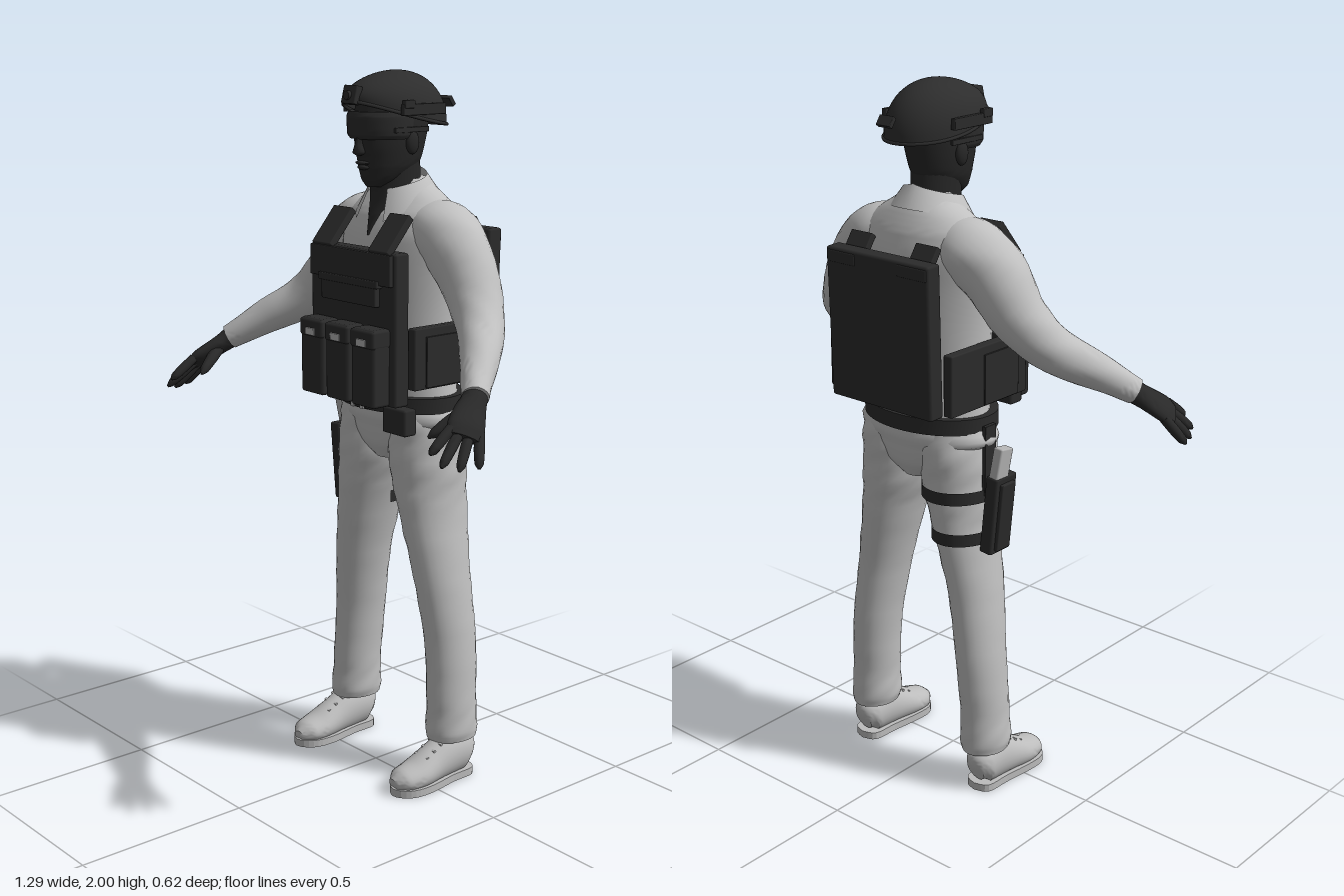
import * as THREE from 'three';
import { toCreasedNormals } from 'three/addons/utils/BufferGeometryUtils.js';
import { RoundedBoxGeometry } from 'three/addons/geometries/RoundedBoxGeometry.js';

const V = (x, y, z) => new THREE.Vector3(x, y, z);
const material = (name, color, side = THREE.FrontSide) => {
  const m = new THREE.MeshStandardMaterial({ color, side });
  m.name = name;
  return m;
};

// Skin over elliptical stations [x, y, z, a, b]; b lies along ref, a across it.
// level keeps every ring horizontal; shape may adjust each point.
function loft(stations, { n = 28, steps = 5, level = false, ref = V(0, 0, 1), wrinkle = 0, shape } = {}) {
  const path = new THREE.CatmullRomCurve3(stations.map(s => V(s[0], s[1], s[2])));
  const radii = new THREE.CatmullRomCurve3(stations.map(s => V(s[3], s[4], 0)));
  const rows = (stations.length - 1) * steps, pos = [], index = [];
  for (let i = 0; i <= rows; i++) {
    const t = i / rows, c = path.getPoint(t), r = radii.getPoint(t);
    const T = level ? V(0, 1, 0) : path.getTangent(t);
    const u = ref.clone().addScaledVector(T, -ref.dot(T)).normalize();
    const s = T.clone().cross(u);
    for (let j = 0; j < n; j++) {
      const q = j / n * Math.PI * 2;
      const k = 1 + wrinkle * Math.sin(c.y * 75 + 2 * q) * Math.sin(q * 3 + c.y * 20);
      const p = c.clone().addScaledVector(s, r.x * k * Math.cos(q)).addScaledVector(u, r.y * k * Math.sin(q));
      if (shape) shape(p);
      pos.push(p.x, p.y, p.z);
    }
  }
  for (let i = 0; i < rows; i++) for (let j = 0; j < n; j++) {
    const a = i * n + j, b = i * n + (j + 1) % n;
    index.push(a, a + n, b, b, a + n, b + n);
  }
  for (const end of [0, 1]) {
    const c = path.getPoint(end), id = pos.length / 3, o = end * rows * n;
    if (shape) shape(c);
    pos.push(c.x, c.y, c.z);
    for (let j = 0; j < n; j++) {
      const a = o + j, b = o + (j + 1) % n;
      index.push(id, ...(end ? [b, a] : [a, b]));
    }
  }
  const g = new THREE.BufferGeometry();
  g.setAttribute('position', new THREE.Float32BufferAttribute(pos, 3));
  g.setIndex(index);
  return toCreasedNormals(g, 0.95);
}

export function createModel() {
  const root = new THREE.Group();
  const cloth = material('cloth', 0xc0c0c0, THREE.DoubleSide);
  const shoe = material('shoe leather', 0xbcbcbc);
  const skin = material('skin', 0x272727);
  const glove = material('glove', 0x292929);
  const gear = material('gear', 0x2b2b2b, THREE.DoubleSide);
  const shell = material('helmet shell', 0x2d2d2d, THREE.DoubleSide);
  const metal = material('metal', 0xb4b4b4);

  const add = (name, geo, mat) => {
    const m = new THREE.Mesh(geo, mat);
    m.name = name;
    root.add(m);
    return m;
  };
  const box = (name, [w, h, d], [x, y, z], mat = gear, rx = 0, rz = 0) => {
    const m = add(name, new RoundedBoxGeometry(w, h, d, 1, Math.min(w, h, d) * 0.15), mat);
    m.position.set(x, y, z);
    m.rotation.set(rx, 0, rz);
    return m;
  };
  const ball = (name, [w, h, d], [x, y, z], mat) => {
    const m = add(name, new THREE.SphereGeometry(1, 16, 12), mat);
    m.scale.set(w, h, d);
    m.position.set(x, y, z);
  };
  const level = { level: true };

  // Body and clothes
  add('shirt', loft([[0, 1.05, -.1, .195, .122], [0, 1.2, -.095, .182, .13], [0, 1.35, -.095, .188, .138],
    [0, 1.48, -.097, .2, .138], [0, 1.56, -.102, .21, .13], [0, 1.62, -.106, .19, .11],
    [0, 1.66, -.11, .14, .085], [0, 1.69, -.11, .09, .066], [0, 1.71, -.11, .07, .055]], { level: true, n: 40 }), cloth);
  add('trouserSeat', loft([[0, .925, -.1, .06, .085], [0, .97, -.1, .15, .112], [0, 1.03, -.1, .2, .124],
    [0, 1.1, -.1, .2, .124]], level), cloth);
  add('neck', loft([[0, 1.56, -.06, .015, .092], [0, 1.6, -.065, .038, .087], [0, 1.65, -.07, .058, .078],
    [0, 1.7, -.07, .062, .075], [0, 1.78, -.065, .066, .075]], level), skin);

  // Open collar wrapped round the back of the neck, falling to two points
  const collar = new THREE.PlaneGeometry(1, 1, 36, 2), cp = collar.attributes.position;
  for (let i = 0; i < cp.count; i++) {
    const t = cp.getX(i) * 2, k = .5 - cp.getY(i), q = t * 2.65, r = .08 + .037 * k;
    const y = (1 - k) * (1.735 - .05 * Math.abs(t)) + k * (1.675 - .075 * t * t);
    cp.setXYZ(i, Math.sin(q) * r, y, -.08 - Math.cos(q) * r);
  }
  collar.computeVertexNormals();
  add('collar', collar, cloth);

  // Head
  add('head', loft([[0, 1.69, 0, .022, .028], [0, 1.71, -.02, .048, .06], [0, 1.75, -.045, .07, .093],
    [0, 1.8, -.05, .079, .107], [0, 1.86, -.055, .083, .115], [0, 1.92, -.06, .082, .113],
    [0, 1.965, -.06, .06, .085]], level), skin);
  add('nose', loft([[0, 1.775, .06, .006, .004], [0, 1.785, .058, .018, .019], [0, 1.81, .056, .011, .015],
    [0, 1.85, .055, .008, .008]], { level: true, n: 14 }), skin);
  ball('upperLip', [.026, .006, .012], [0, 1.756, .048], skin);
  ball('lowerLip', [.022, .007, .012], [0, 1.744, .044], skin);

  // Helmet shell with a rim that drops toward the back
  const rim = z => 1.885 + .035 * z - .012 * (1 - z * z);
  const dome = new THREE.SphereGeometry(1, 36, 14, 0, Math.PI * 2, 0, Math.PI / 2), dp = dome.attributes.position;
  for (let i = 0; i < dp.count; i++) {
    const x = dp.getX(i), y = Math.max(0, dp.getY(i)), z = dp.getZ(i), r = rim(z);
    dp.setXYZ(i, x * .117, r + (2 - r) * Math.pow(y, .9), -.07 + z * .158);
  }
  dome.computeVertexNormals();
  add('helmet', dome, shell);
  const edge = Array.from({ length: 32 }, (_, i) => {
    const q = i / 16 * Math.PI, z = Math.cos(q);
    return V(Math.sin(q) * .117, rim(z), -.07 + z * .158);
  });
  add('helmetRim', new THREE.TubeGeometry(new THREE.CatmullRomCurve3(edge, true), 64, .005, 6, true), shell);
  box('helmetMount', [.056, .05, .022], [0, 1.937, .084], shell, -.25);
  const lamp = add('mountStud', new THREE.CylinderGeometry(.012, .012, .015, 12), gear);
  lamp.position.set(0, 1.937, .097);
  lamp.rotation.x = Math.PI / 2;
  box('helmetRearUnit', [.048, .03, .014], [0, 1.91, -.26], gear, .6);
  add('goggles', loft([[0, 1.82, -.02, .086, .085], [0, 1.832, -.02, .092, .094], [0, 1.878, -.02, .093, .096],
    [0, 1.893, -.02, .088, .09]], level), gear);

  for (const s of [-1, 1]) {
    const side = s > 0 ? 'left' : 'right';
    const flip = a => a.map(([x, ...r]) => [x * s, ...r]);

    ball(side + 'Ear', [.012, .032, .022], [s * .082, 1.81, -.06], skin);
    box(side + 'HelmetRail', [.016, .03, .15], [s * .12, 1.9, -.065]);
    box(side + 'RailClip', [.018, .022, .035], [s * .122, 1.915, -.01]);
    box(side + 'GoggleArm', [.008, .014, .12], [s * .09, 1.845, -.05]);

    // Arm
    add(side + 'Sleeve', loft(flip([[.1, 1.585, -.105, .075, .085], [.16, 1.568, -.105, .088, .098],
      [.225, 1.52, -.1, .09, .09], [.31, 1.405, -.085, .074, .076], [.375, 1.335, -.042, .062, .064],
      [.44, 1.285, .02, .054, .054], [.5, 1.235, .09, .041, .041], [.53, 1.21, .122, .036, .036]]),
    { wrinkle: .025 }), cloth);

    // Gloved hand: palm, four fingers and thumb
    const w = V(.45 * s, -.25, -.85).normalize();
    add(side + 'Palm', loft(flip([[.51, 1.228, .1, .036, .037], [.53, 1.205, .125, .03, .034],
      [.548, 1.182, .155, .025, .042], [.575, 1.15, .195, .022, .05], [.59, 1.13, .215, .014, .044]]),
    { ref: w, n: 20 }), glove);
    [[.567, 1.1, .308], [.6, 1.072, .3], [.622, 1.06, .26], [.64, 1.062, .21]].forEach((tip, i) => {
      const a = V(.578 * s, 1.145, .2).addScaledVector(w, (i - 1.5) * .025), b = V(tip[0] * s, tip[1], tip[2]);
      const at = (k, r) => [...a.clone().lerp(b, k).toArray(), r, r];
      add(side + 'Finger' + (i + 1), loft([at(0, .014), at(.45, .0145), at(.85, .012), at(1, .004)], { n: 10, steps: 3 }), glove);
    });
    add(side + 'Thumb', loft(flip([[.54, 1.185, .15, .018, .018], [.518, 1.158, .195, .017, .017],
      [.502, 1.13, .235, .013, .013], [.496, 1.12, .25, .004, .004]]), { n: 10, steps: 3, ref: V(0, 1, 0) }), glove);

    // Trouser leg with a loose cuff
    add(side + 'TrouserLeg', loft(flip([[.215, .122, -.105, .063, .077], [.214, .15, -.105, .069, .08],
      [.212, .22, -.105, .066, .076], [.2, .4, -.11, .066, .08], [.172, .6, -.1, .07, .09],
      [.132, .8, -.098, .082, .11], [.112, .92, -.097, .101, .116], [.106, 1.02, -.1, .1, .118],
      [.1, 1.08, -.1, .09, .11]]), { level: true, wrinkle: .022 }), cloth);

    // Shoe: rounded upper on a flat sole
    const x = .222;
    add(side + 'Shoe', loft(flip([[x, .06, -.158, .028, .038], [x, .07, -.135, .046, .062], [x, .072, -.08, .048, .066],
      [x, .058, -.02, .05, .055], [x, .043, .04, .055, .041], [x - .003, .036, .09, .047, .033],
      [x - .006, .03, .118, .02, .018]]),
    { ref: V(0, 1, 0), shape: p => { p.y = Math.max(p.y, .015); } }), shoe);
    const outline = new THREE.Shape(new THREE.SplineCurve([[0, -.165], [.04, -.145], [.044, -.07], [.057, .03],
      [.045, .095], [0, .125], [-.05, .09], [-.057, .03], [-.046, -.07], [-.04, -.145], [0, -.165]]
      .map(([a, b]) => new THREE.Vector2(a, -b))).getPoints(40));
    const sole = add(side + 'Sole', new THREE.ExtrudeGeometry(outline, { depth: .022, bevelEnabled: false }), shoe);
    sole.rotation.x = -Math.PI / 2;
    sole.position.x = s * x;
    for (let i = 0; i < 3; i++)
      box(side + 'Lace', [.055, .007, .008], [s * x, .119 - i * .014, -.035 + i * .026], shoe, .5);

    // Vest parts that repeat on both sides
    box(side + 'ShoulderStrap', [.08, .125, .022], [s * .12, 1.573, .05], gear, -.7);
    box(side + 'SidePanel', [.03, .17, .31], [s * .205, 1.245, -.105]);
    box(side + 'SidePanelFace', [.008, .14, .14], [s * .221, 1.235, -.06]);
    box(side + 'BackStrap', [.075, .06, .02], [s * .115, 1.575, -.245], gear, .6);
    box(side + 'BackTab', [.1, .032, .02], [s * .125, 1.545, -.3]);
  }

  // Plate vest
  box('frontPlate', [.36, .42, .05], [0, 1.32, .06]);
  box('chestPanel', [.34, .085, .018], [0, 1.483, .088]);
  box('chestPocket', [.23, .06, .024], [0, 1.41, .09]);
  box('pocketFlap', [.25, .02, .03], [0, 1.442, .09]);
  for (const x of [-.11, 0, .11]) {
    box('magazinePouch', [.096, .215, .062], [x, 1.22, .112]);
    box('pouchFlap', [.098, .05, .066], [x, 1.3, .113]);
    box('pouchTab', [.038, .02, .006], [x, 1.29, .147], metal);
  }
  box('backPanel', [.36, .42, .05], [0, 1.36, -.277], gear, -.03);

  // Belt
  add('belt', loft([[0, 1.078, -.093, .208, .15], [0, 1.122, -.093, .208, .15]], { level: true, n: 40, steps: 1 }), gear);
  box('beltBuckle', [.07, .036, .014], [0, 1.1, .06]);
  for (const x of [-.02, .02]) box('buckleClip', [.014, .022, .006], [x, 1.092, .068], metal);
  box('beltPouch', [.095, .075, .045], [.152, 1.068, .045]);

  // Thigh holster with half straps behind the leg
  box('holster', [.04, .23, .085], [-.248, .855, -.1], gear, 0, .1);
  box('holsterFace', [.02, .2, .055], [-.268, .85, -.1], gear, 0, .1);
  box('sidearmGrip', [.03, .1, .05], [-.264, 1.0, -.11], metal, .15, .08);
  box('holsterHanger', [.012, .2, .045], [-.215, 1.0, -.1]);
  for (const [y, x, a, b] of [[.9, -.116, .103, .121], [.78, -.137, .088, .114]]) {
    const strap = add('legStrap', new THREE.CylinderGeometry(1, 1, .036, 28, 1, true, Math.PI / 2, Math.PI), gear);
    strap.scale.set(a, 1, b);
    strap.position.set(x, y, -.098);
  }
  return root;
}
